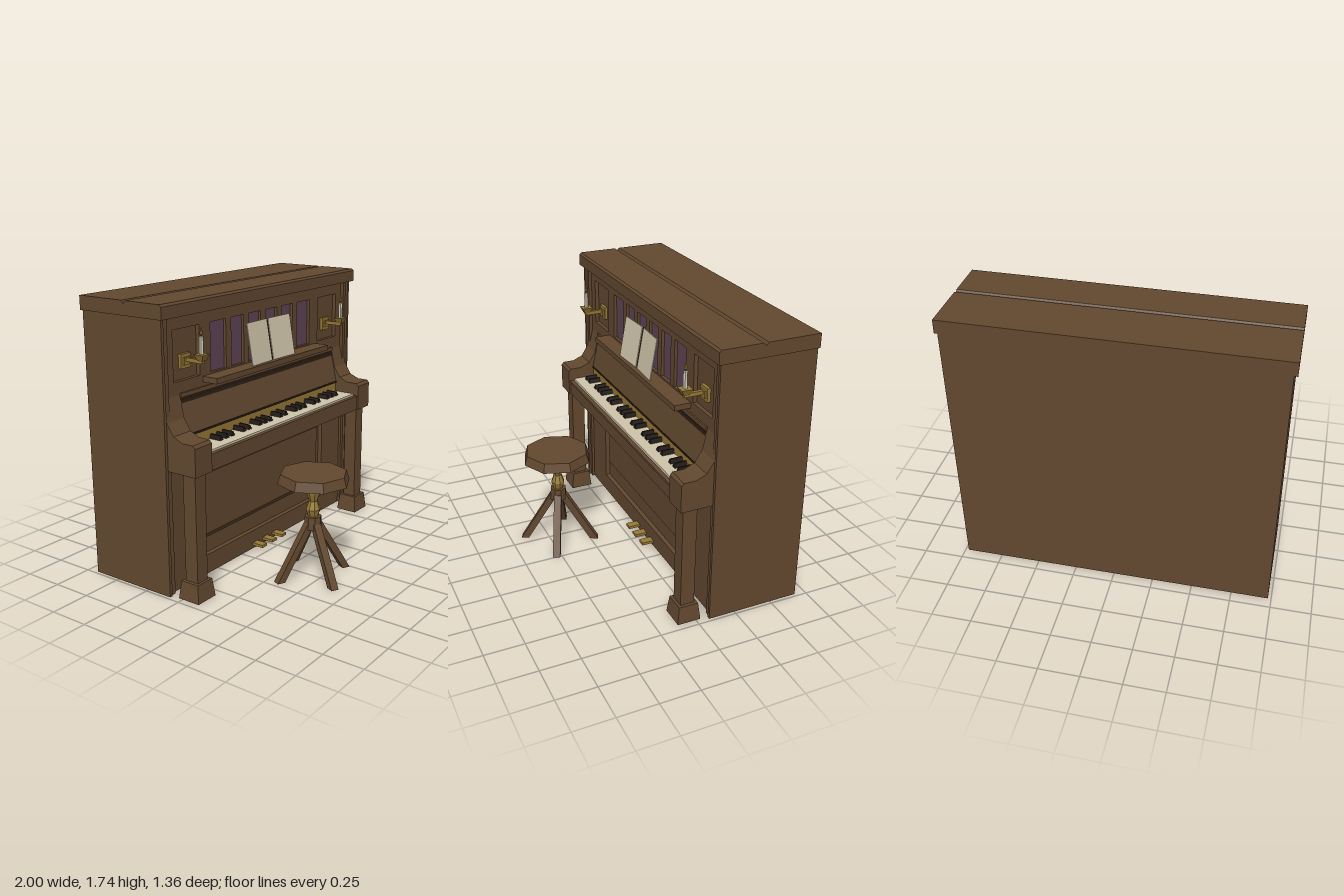
import * as THREE from 'three';

const mat = (name, color) => {
  const m = new THREE.MeshStandardMaterial({ color, flatShading: true });
  m.name = name;
  return m;
};

export function createModel() {
  const root = new THREE.Group();
  root.name = 'uprightPianoWithStool';
  const wood = mat('brownWood', 0x62482f);
  const dark = mat('darkTrim', 0x2b1d13);
  const brass = mat('brass', 0x977936);
  const ivory = mat('ivory', 0xcfc5aa);
  const wax = mat('candleWax', 0xcfcab8);
  const ebony = mat('ebony', 0x1f1713);
  const cloth = mat('purpleCloth', 0x604556);

  const add = (name, geo, material, parent = root) => {
    const m = new THREE.Mesh(geo, material);
    m.name = name;
    parent.add(m);
    return m;
  };
  // Box given by its limits on each axis
  const box = (name, material, [x0, x1], [y0, y1], [z0, z1], parent = root) => {
    const g = new THREE.BoxGeometry(x1 - x0, y1 - y0, z1 - z0);
    g.translate((x0 + x1) / 2, (y0 + y1) / 2, (z0 + z1) / 2);
    return add(name, g, material, parent);
  };
  // Profile of [z, y] points swept along x
  const sweepX = (name, material, pts, x0, x1) => {
    const shape = new THREE.Shape(pts.map(p => new THREE.Vector2(...p)));
    const g = new THREE.ExtrudeGeometry(shape, { depth: x1 - x0, bevelEnabled: false });
    g.rotateY(-Math.PI / 2).translate(x1, 0, 0);
    return add(name, g, material);
  };
  const rect = (Type, x0, x1, y0, y1) => new Type([[x0, y0], [x1, y0], [x1, y1], [x0, y1]].map(p => new THREE.Vector2(...p)));
  // Framed board with rectangular openings
  const frame = (name, outer, holes, z0, z1) => {
    const s = rect(THREE.Shape, ...outer);
    s.holes = holes.map(h => rect(THREE.Path, ...h));
    const g = new THREE.ExtrudeGeometry(s, { depth: z1 - z0, bevelEnabled: false });
    return add(name, g.translate(0, 0, z0), wood);
  };
  // Box whose top is scaled by sx, sz
  const taperedBox = (w, h, d, sx, sz) => {
    const g = new THREE.BoxGeometry(w, h, d), p = g.attributes.position;
    for (let i = 0; i < p.count; i++) {
      if (p.getY(i) > 0) p.setXYZ(i, p.getX(i) * sx, p.getY(i), p.getZ(i) * sz);
    }
    g.computeVertexNormals();
    return g;
  };

  // Case and grooved lid
  box('caseBody', wood, [-0.965, 0.965], [0, 1.65], [-0.68, -0.135]);
  sweepX('lid', wood, [[-0.68, 1.65], [-0.055, 1.65], [-0.055, 1.722], [-0.067, 1.735], [-0.32, 1.735],
    [-0.335, 1.718], [-0.35, 1.735], [-0.68, 1.735]], -1, 1);

  // Upper front with openings for sconces and cloth panels
  frame('upperFront', [-0.93, 0.93, 1.18, 1.65],
    [[-0.855, -0.625, 1.27, 1.57], [-0.524, 0.524, 1.27, 1.57], [0.625, 0.855, 1.27, 1.57]], -0.14, -0.11);
  box('clothPanel', cloth, [-0.524, 0.524], [1.27, 1.57], [-0.136, -0.13]);
  for (let i = -2; i <= 2; i++) {
    box('mullion', wood, [i * 0.175 - 0.026, i * 0.175 + 0.026], [1.27, 1.57], [-0.135, -0.112]);
  }

  // Lower front with a raised field
  frame('lowerFront', [-0.93, 0.93, 0, 0.8], [[-0.69, 0.69, 0.125, 0.775]], -0.14, -0.105);
  const field = taperedBox(1.33, 0.03, 0.47, 0.94, 0.83);
  add('raisedPanel', field.rotateX(Math.PI / 2).translate(0, 0.46, -0.122), wood);

  // Key bed, slip and keys
  box('keyBed', wood, [-0.82, 0.82], [0.775, 0.86], [-0.14, 0.108]);
  box('keySlip', wood, [-0.81, 0.81], [0.86, 0.875], [0.085, 0.112]);
  box('whiteKeys', ivory, [-0.81, 0.81], [0.86, 0.886], [-0.1, 0.08]);
  const w = 1.62 / 29;
  for (let octave = 0; octave < 4; octave++) {
    for (const n of [1, 2, 4, 5, 6]) {
      const key = add('blackKey', taperedBox(0.032, 0.028, 0.1, 0.35, 0.9), ebony);
      key.position.set(-0.81 + (octave * 7 + n) * w, 0.899, -0.037);
    }
  }

  // Sloping fallboard
  box('nameStrip', brass, [-0.81, 0.81], [0.88, 0.95], [-0.14, -0.068]);
  sweepX('fallboard', wood, [[-0.14, 0.95], [-0.062, 0.95], [-0.11, 1.165], [-0.1, 1.175], [-0.1, 1.2], [-0.14, 1.2]], -0.808, 0.808);
  sweepX('fallboardUpperStrip', dark, [[-0.12, 1.14], [-0.102, 1.14], [-0.106, 1.162], [-0.12, 1.162]], -0.808, 0.808);
  box('fallboardLowerStrip', dark, [-0.808, 0.808], [0.948, 0.96], [-0.1, -0.06]);

  // Music shelf and open sheets
  box('musicShelf', wood, [-0.6, 0.6], [1.225, 1.26], [-0.12, -0.005]);
  for (const s of [-1, 1]) {
    const page = add('sheetPage', new THREE.BoxGeometry(0.218, 0.264, 0.006), ivory);
    page.position.set(s * 0.118, 1.391, -0.055);
    page.rotation.set(-0.17, -s * 0.06, 0);
  }
  const rest = box('sheetSpine', dark, [-0.012, 0.012], [-0.13, 0.13], [-0.003, 0.003]);
  rest.position.set(0, 1.39, -0.066);
  rest.rotation.x = -0.17;

  // Paired parts on both sides
  for (const s of [-1, 1]) {
    const span = (a, b) => (s > 0 ? [a, b] : [-b, -a]);
    sweepX('sideBoard', wood, [[-0.68, 0], [-0.078, 0], [-0.078, 1.65], [-0.68, 1.65]], ...span(0.96, 0.98));
    box('cornerPost', wood, span(0.922, 0.95), [0, 1.65], [-0.14, -0.088]);
    sweepX('cheek', wood, [[-0.14, 0.775], [0.12, 0.775], [0.12, 0.945], [0.105, 0.963], [0.03, 0.963],
      [-0.035, 0.99], [-0.08, 1.06], [-0.112, 1.2], [-0.14, 1.2]], ...span(0.808, 0.955));
    box('frontLeg', wood, span(0.835, 0.925), [0.1, 0.78], [0, 0.09]);
    add('frontFoot', taperedBox(0.155, 0.112, 0.15, 0.84, 0.83), wood).position.set(s * 0.88, 0.056, 0.045);

    // Candle sconce
    const sconce = new THREE.Group();
    sconce.name = 'candleSconce';
    sconce.position.x = s * 0.74;
    root.add(sconce);
    box('wallPlate', brass, [-0.042, 0.042], [1.335, 1.42], [-0.136, -0.115], sconce);
    box('plateBoss', brass, [-0.025, 0.025], [1.355, 1.4], [-0.116, -0.105], sconce);
    box('sconceArm', brass, [-0.011, 0.011], [1.375, 1.398], [-0.115, 0.012], sconce);
    const cup = new THREE.CylinderGeometry(0.048, 0.024, 0.038, 4).rotateY(Math.PI / 4);
    add('candleCup', cup, brass, sconce).position.set(0, 1.41, 0.003);
    add('candle', new THREE.CylinderGeometry(0.014, 0.014, 0.105, 6), wax, sconce).position.set(0, 1.478, 0.003);
    const flame = [[0, 0], [0.011, 0.018], [0, 0.06]].map(p => new THREE.Vector2(...p));
    add('flame', new THREE.LatheGeometry(flame, 6), brass, sconce).position.set(0, 1.528, 0.003);
  }

  // Pedals
  for (const x of [-0.11, 0, 0.11]) box('pedal', brass, [x - 0.026, x + 0.026], [0.022, 0.04], [-0.12, -0.025]);

  // Stool with turned brass stem and four splayed legs
  const stool = new THREE.Group();
  stool.name = 'stool';
  stool.position.set(-0.23, 0, 0.43);
  root.add(stool);
  const seat = add('stoolSeat', new THREE.CylinderGeometry(0.207, 0.226, 0.06, 8), wood, stool);
  seat.position.y = 0.64;
  seat.rotation.y = 0.06;
  const stem = [[0.03, 0.385], [0.045, 0.435], [0.026, 0.488], [0.044, 0.54], [0.044, 0.56], [0.03, 0.585], [0.042, 0.612]];
  add('stoolStem', new THREE.LatheGeometry(stem.map(p => new THREE.Vector2(...p)), 8), brass, stool);
  const hub = add('stoolHub', new THREE.CylinderGeometry(0.052, 0.056, 0.08, 8), wood, stool);
  hub.position.y = 0.35;
  for (let i = 0; i < 4; i++) {
    const g = new THREE.BoxGeometry(0.048, 0.35, 0.05).translate(0, 0.175, 0);
    const p = g.attributes.position;
    for (let j = 0; j < p.count; j++) p.setZ(j, p.getZ(j) + (p.getY(j) > 0.1 ? 0.025 : 0.235));
    g.computeVertexNormals();
    add('stoolLeg', g, wood, stool).rotation.y = -0.44 + i * Math.PI / 2;
  }
  return root;
}
